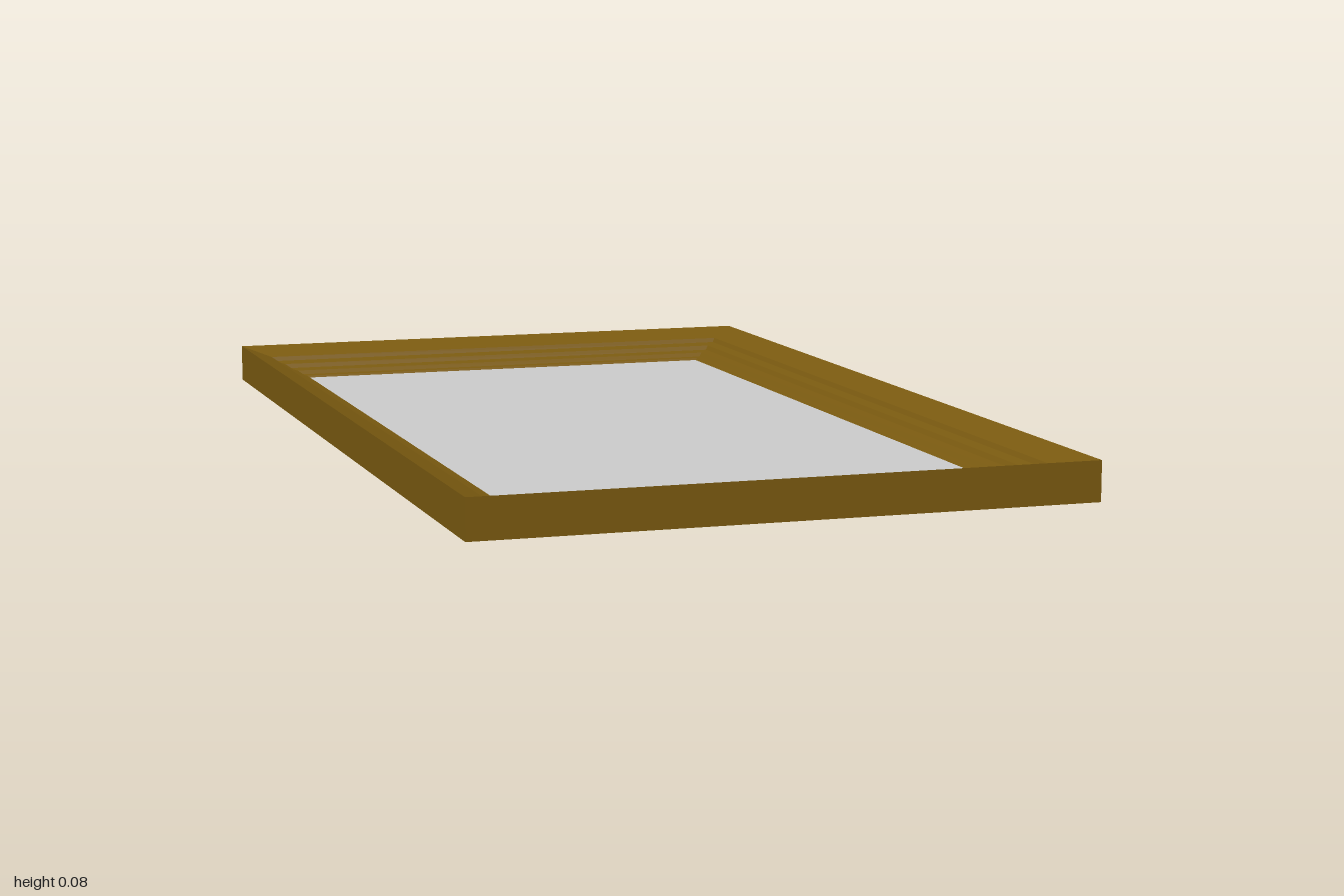
import * as THREE from 'three';

const WIDTH = 1.2, LENGTH = 2;

// Moulding section as [inset from the outer edge, height], from the outside bottom to the inner lip
const MOULDING = [
  [0, 0], [0, 0.078],
  [0.058, 0.058], [0.064, 0.049],
  [0.084, 0.044], [0.091, 0.035],
  [0.108, 0.031], [0.116, 0.023],
  [0.126, 0.021], [0.132, 0.015],
];

// Four-sided lathe with mitred corners, stretched from a square to a rectangle
function rectangularLathe(points) {
  const geometry = new THREE.LatheGeometry(points, 4, Math.PI / 4).toNonIndexed();
  const pos = geometry.attributes.position;
  const stretch = (LENGTH - WIDTH) / 2;
  for (let i = 0; i < pos.count; i++) {
    const z = pos.getZ(i);
    if (Math.abs(z) > 1e-6) pos.setZ(i, z + Math.sign(z) * stretch);
  }
  geometry.computeVertexNormals();
  return geometry;
}

export function createModel() {
  const group = new THREE.Group();
  group.name = 'pictureFrame';

  const wood = new THREE.MeshStandardMaterial({ color: 0x7a5a10, flatShading: true });
  const grey = new THREE.MeshStandardMaterial({ color: 0xcccccc });

  // Stepped wooden moulding, closed underneath by the back board
  const section = MOULDING.map(([inset, y]) =>
    new THREE.Vector2((WIDTH / 2 - inset) * Math.SQRT2, y));
  const frame = new THREE.Mesh(
    rectangularLathe([new THREE.Vector2(0, 0), ...section]), wood);
  frame.name = 'frame';
  group.add(frame);

  // Flat panel held by the inner lip
  const panel = new THREE.Mesh(new THREE.BoxGeometry(0.938, 0.012, 1.738), grey);
  panel.name = 'panel';
  panel.position.y = 0.011;
  group.add(panel);

  return group;
}
